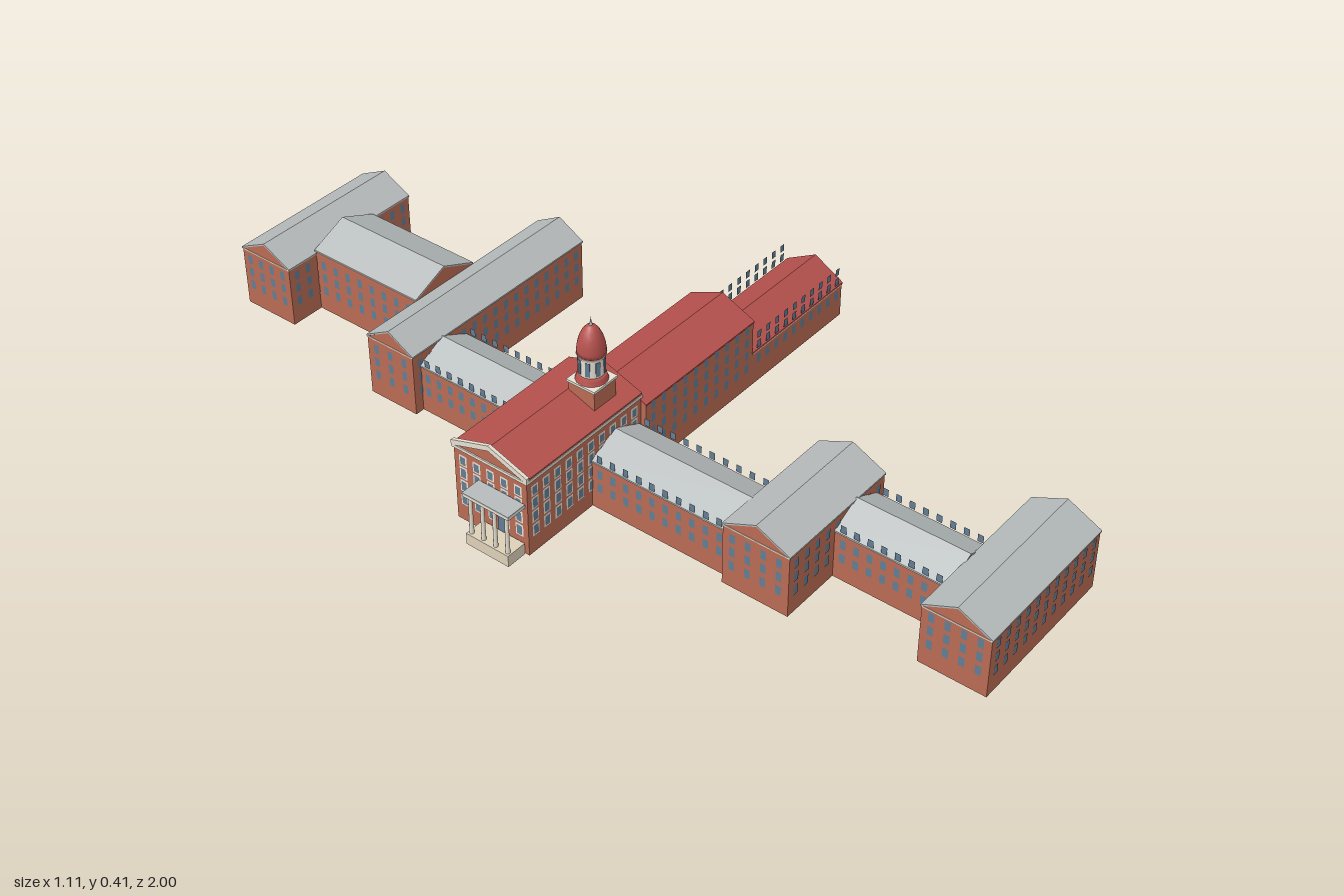
import * as THREE from 'three';
import { mergeGeometries } from 'three/addons/utils/BufferGeometryUtils.js';

const mat = (name, color, side = THREE.FrontSide) => {
  const m = new THREE.MeshStandardMaterial({ color, side });
  m.name = name;
  return m;
};

export function createModel() {
  const brick = mat('brick', 0xb96c54, THREE.DoubleSide);
  const red = mat('red roof', 0xb5514d);
  const grey = mat('grey roof', 0xb6bbbb);
  const stone = mat('tan stone', 0xddd0b8, THREE.DoubleSide);
  const trim = mat('pale trim', 0xe8e1d3, THREE.DoubleSide);
  const glass = mat('window glass', 0x627d94, THREE.DoubleSide);

  const model = new THREE.Group();
  model.name = 'hospitalBuilding';

  const add = (parent, name, geo, material, x = 0, y = 0, z = 0) => {
    const mesh = new THREE.Mesh(geo, material);
    mesh.name = name;
    mesh.position.set(x, y, z);
    parent.add(mesh);
    return mesh;
  };
  const box = (w, h, d) => new THREE.BoxGeometry(w, h, d);
  const outline = (points) => new THREE.Shape(points.map(([x, y]) => new THREE.Vector2(x, y)));
  // Extrude a cross-section along z, centred
  const prism = (points, length) => new THREE.ExtrudeGeometry(outline(points),
    { depth: length, bevelEnabled: false }).translate(0, 0, -length / 2);
  const chevron = (w, eave, ridge, t) =>
    [[-w, eave - t], [0, ridge - t], [w, eave - t], [w, eave], [0, ridge], [-w, eave]];

  // Four walls with gabled ends, open at the bottom
  const wallShell = (w, length, eave, ridge) => {
    const faces = [];
    for (const s of [0, 1]) {
      const gable = outline([[-w, 0], [w, 0], [w, eave], [0, ridge], [-w, eave]]);
      faces.push(new THREE.ShapeGeometry(gable).translate(0, 0, length / 2).rotateY(s * Math.PI));
      faces.push(new THREE.PlaneGeometry(length, eave).translate(0, eave / 2, w)
        .rotateY(Math.PI / 2 + s * Math.PI));
    }
    return mergeGeometries(faces);
  };

  // A gabled block; each row of windows is [centre height, window height]
  function block(name, { x, z, eave, ridge, along, roof, rows, pitch = 0.034, framed = false }) {
    const g = new THREE.Group();
    g.name = name;
    g.position.set((x[0] + x[1]) / 2, 0, (z[0] + z[1]) / 2);
    const dx = x[1] - x[0], dz = z[1] - z[0];
    const length = along === 'x' ? dx : dz;
    const w = (along === 'x' ? dz : dx) / 2;
    if (along === 'x') g.rotation.y = Math.PI / 2;
    const t = 0.004;
    add(g, 'walls', wallShell(w, length, eave - t, ridge - t), brick);
    add(g, 'roof', prism(chevron(w + 0.002, eave, ridge, t), length + 0.003), roof);

    // Flat panes: each wall is laid out facing +z, then turned into place
    const panes = [], frames = [];
    const wallWindows = (span, distance, angle, wallRows) => {
      const n = Math.max(2, Math.round((span - 0.02) / pitch));
      const put = (list, a, b, px, py, out) => list.push(
        new THREE.PlaneGeometry(a, b).translate(px, py, distance + out).rotateY(angle));
      for (const [y, h] of wallRows) for (let i = 0; i < n; i++) {
        const p = ((i + 0.5) / n - 0.5) * (span - 0.01);
        put(panes, 0.0135, h, p, y, 0.0014);
        if (framed) put(frames, 0.02, h + 0.007, p, y, 0.0007);
      }
    };
    const endRows = rows.filter(([y, h]) => y + h / 2 < eave);
    wallWindows(length, w, Math.PI / 2, rows);
    wallWindows(length, w, -Math.PI / 2, rows);
    wallWindows(w * 2, length / 2, Math.PI, endRows);
    if (!framed) wallWindows(w * 2, length / 2, 0, endRows);
    add(g, 'windows', mergeGeometries(panes), glass);
    if (framed) add(g, 'windowFrames', mergeGeometries(frames), trim);
    model.add(g);
    return { g, w, length };
  }

  // Central range, stepping down towards the left end
  const low = [[0.057, 0.023], [0.092, 0.023], [0.126, 0.023]];
  const tall = [...low, [0.158, 0.02]];
  const head = block('mainHall', { x: [-0.503, -0.148], z: [-0.118, 0.074], eave: 0.196, ridge: 0.23,
    along: 'x', roof: red, rows: tall, framed: true });
  const middle = block('middleHall', { x: [-0.148, 0.22], z: [-0.082, 0.087], eave: 0.172, ridge: 0.21,
    along: 'x', roof: red, rows: tall });
  const rear = block('rearHall', { x: [0.22, 0.555], z: [-0.063, 0.087], eave: 0.089, ridge: 0.132,
    along: 'x', roof: red, rows: [[0.063, 0.023], [0.102, 0.019], [0.128, 0.018]], pitch: 0.032 });

  // Cornices and gable coping
  for (const s of [-1, 1]) {
    add(head.g, 'cornice', box(0.006, 0.007, head.length), trim, s * head.w, 0.188, 0);
    add(rear.g, 'eaveTrim', box(0.003, 0.003, rear.length), trim, s * rear.w, 0.084, 0);
    add(head.g, 'gableCornice', box(head.w * 2 + 0.006, 0.007, 0.006), trim, 0, 0.188, s * head.length / 2);
  }
  add(middle.g, 'gableCornice', box(middle.w * 2, 0.004, 0.003), trim, 0, 0.167, middle.length / 2);
  add(rear.g, 'gableCornice', box(rear.w * 2, 0.004, 0.003), trim, 0, 0.085, rear.length / 2);
  add(head.g, 'gableCoping', prism(chevron(head.w + 0.004, 0.202, 0.236, 0.013), 0.008), trim,
    0, 0, -head.length / 2);

  // Pavilions across the wings: x range, z range, ridge height
  [
    ['farBackPavilion', [-0.247, 0.138], [-0.999, -0.853], 0.19],
    ['backPavilion', [-0.313, 0.243], [-0.545, -0.414], 0.192],
    ['frontPavilion', [-0.325, -0.005], [0.421, 0.581], 0.192],
    ['farFrontPavilion', [-0.269, 0.12], [0.844, 0.999], 0.184],
  ].forEach(([name, x, z, ridge]) => {
    const { g, w, length } = block(name,
      { x, z, eave: ridge - 0.038, ridge, along: 'x', roof: grey, rows: low });
    for (const s of [-1, 1]) {
      add(g, 'gableBand', box(w * 2, 0.003, 0.002), trim, 0, ridge - 0.042, s * length / 2);
    }
  });

  // Linking wings, whose top windows stand up past the eaves
  const linkRows = [[0.057, 0.022], [0.092, 0.022], [0.132, 0.018]];
  [
    ['backLink', [-0.29, -0.148], [-0.414, -0.118]],
    ['frontLink', [-0.306, -0.156], [0.074, 0.421]],
    ['farFrontLink', [-0.174, -0.032], [0.581, 0.844]],
  ].forEach(([name, x, z]) =>
    block(name, { x, z, eave: 0.12, ridge: 0.156, along: 'z', roof: grey, rows: linkRows, pitch: 0.032 }));
  block('farBackLink', { x: [-0.162, 0.02], z: [-0.853, -0.545], eave: 0.16, ridge: 0.2,
    along: 'z', roof: grey, rows: low });

  // Entrance portico on a hollow plinth
  const portico = new THREE.Group();
  portico.name = 'portico';
  portico.position.set(-0.53, 0, 0.008);
  add(portico, 'porticoPlinth', wallShell(0.025, 0.112, 0.027, 0.027), stone);
  add(portico, 'porticoFloor', box(0.05, 0.002, 0.112), stone, 0, 0.027, 0);
  add(portico, 'porticoLintel', box(0.05, 0.006, 0.122), trim, 0, 0.126, 0);
  add(portico, 'porticoRoof', box(0.05, 0.003, 0.122), grey, 0, 0.1305, 0);
  for (let i = 0; i < 4; i++) {
    add(portico, 'porticoColumn', new THREE.CylinderGeometry(0.004, 0.005, 0.096, 10), trim,
      -0.016, 0.076, -0.048 + i * 0.032);
  }
  add(portico, 'entranceDoor', box(0.003, 0.06, 0.026), glass, 0.0255, 0.058, 0);
  model.add(portico);

  // Domed cupola
  const cupola = new THREE.Group();
  cupola.name = 'cupola';
  cupola.position.set(-0.229, 0, 0.013);
  const lathe = (pts, n = 16) => new THREE.LatheGeometry(pts.map(([r, y]) => new THREE.Vector2(r, y)), n);
  add(cupola, 'towerBase', box(0.068, 0.07, 0.068), brick, 0, 0.215, 0);
  add(cupola, 'towerCornice', box(0.074, 0.006, 0.074), trim, 0, 0.253, 0);
  add(cupola, 'towerSkirt', lathe([[0.035, 0.256], [0.032, 0.264], [0.03, 0.272], [0, 0.272]]), red);
  add(cupola, 'drum', new THREE.CylinderGeometry(0.028, 0.028, 0.046, 16), trim, 0, 0.294, 0);
  add(cupola, 'drumCornice', new THREE.CylinderGeometry(0.032, 0.03, 0.006, 16), trim, 0, 0.317, 0);
  for (let i = 0; i < 8; i++) {
    const a = ((i + 0.5) / 8) * Math.PI * 2;
    const win = add(cupola, 'drumWindow', box(0.01, 0.034, 0.003), glass,
      Math.sin(a) * 0.0272, 0.293, Math.cos(a) * 0.0272);
    win.rotation.y = a;
  }
  add(cupola, 'dome', lathe([[0, 0.319], [0.031, 0.319], [0.031, 0.33], [0.029, 0.345], [0.025, 0.36],
    [0.018, 0.375], [0.01, 0.385], [0, 0.389]]), red);
  add(cupola, 'finial', lathe([[0.004, 0.385], [0.003, 0.392], [0.0015, 0.396], [0, 0.409]], 8), grey);
  model.add(cupola);

  return model;
}
